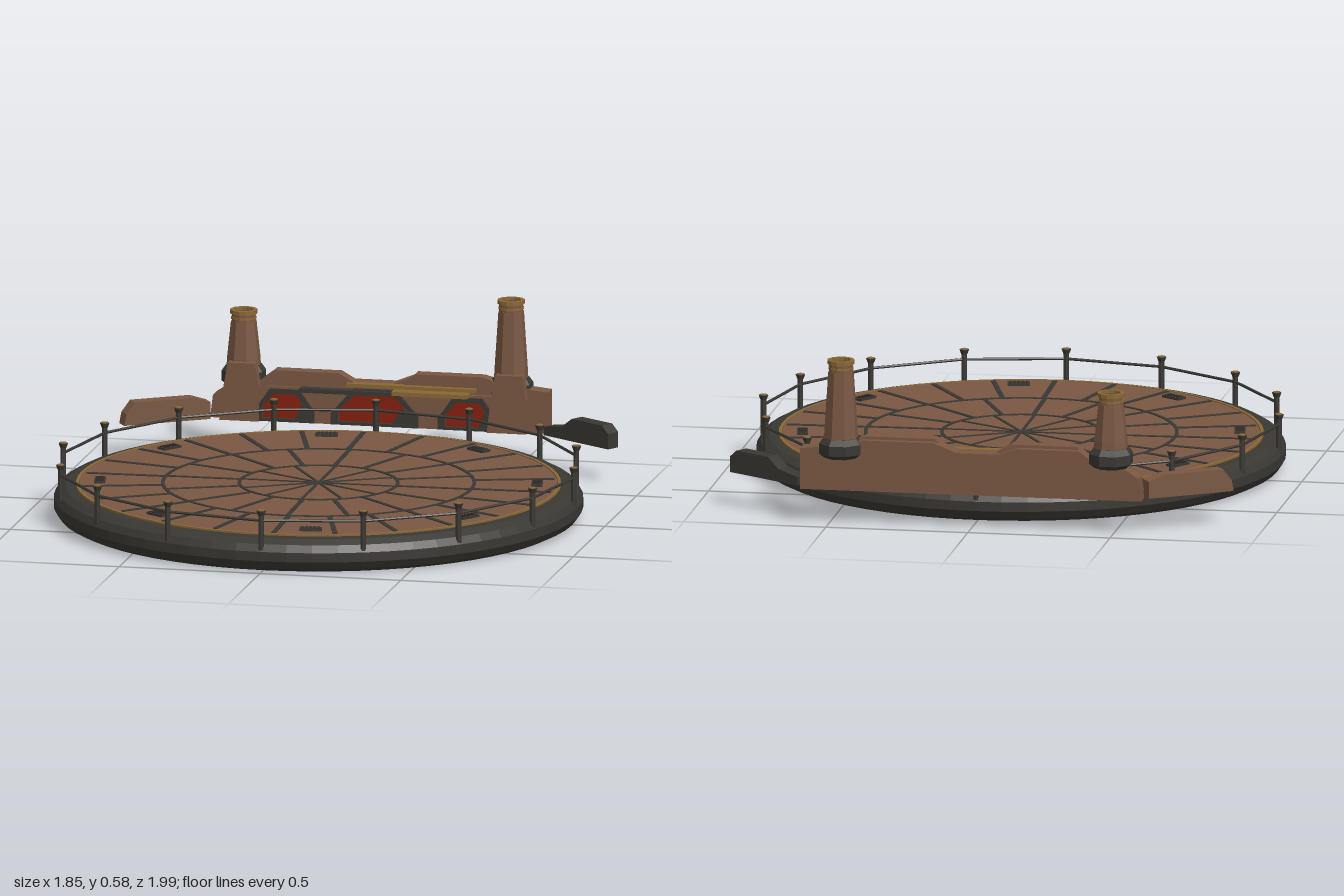
import * as THREE from 'three';

const mat = (color) => new THREE.MeshStandardMaterial({ color, flatShading: true, side: THREE.DoubleSide });
const brown = mat(0x7a5842), dark = mat(0x3a3833), gold = mat(0x8a6835), red = mat(0x86200f), black = mat(0x2f2c2a);
const CZ = 0.075; // disc centre
const DECK = 0.122; // deck height

function add(parent, name, geo, material, x = 0, y = 0, z = 0) {
  const m = new THREE.Mesh(geo, material);
  m.name = name;
  m.position.set(x, y, z);
  parent.add(m);
  return m;
}

const lathe = (pts, n) => new THREE.LatheGeometry(pts.map((p) => new THREE.Vector2(p[0], p[1])), n);

// Outline in x,y pushed from z0 to z1, with optional holes
function slab(pts, z0, z1, holes = []) {
  const vec = (a) => a.map((p) => new THREE.Vector2(p[0], p[1]));
  const shape = new THREE.Shape(vec(pts));
  holes.forEach((h) => shape.holes.push(new THREE.Path(vec(h))));
  return new THREE.ExtrudeGeometry(shape, { depth: z1 - z0, bevelEnabled: false }).translate(0, 0, z0);
}

// Band with a rectangular section
const band = (r0, r1, y0, y1, n = 64) => lathe([[r0, y0], [r1, y0], [r1, y1], [r0, y1], [r0, y0]], n);

function platform() {
  const g = new THREE.Group();
  g.name = 'platform';
  g.position.z = CZ;
  // Rim with an open recess beneath the thin deck
  add(g, 'rim', lathe([[0.842, 0.1], [0.842, 0.012], [0.85, 0.003], [0.87, 0], [0.9, 0.015], [0.918, 0.042], [0.918, 0.075],
    [0.904, 0.1], [0.875, 0.116], [0.842, 0.118], [0.842, 0.1]], 64), dark);
  add(g, 'underside', new THREE.CylinderGeometry(0.84, 0.84, 0.008, 64), black, 0, 0.1);
  add(g, 'deck', new THREE.CylinderGeometry(0.828, 0.828, 0.02, 64), brown, 0, DECK - 0.01);
  add(g, 'deckTrim', band(0.83, 0.841, 0.09, DECK + 0.002), gold);

  // Ring seams and radial seams between the plates
  [0.275, 0.54].forEach((r) => add(g, 'ringSeam', band(r - 0.006, r + 0.006, DECK - 0.01, DECK + 0.003), dark));
  const seams = (n, r0, r1, w, offset) => {
    for (let i = 0; i < n; i++) {
      const pivot = new THREE.Group();
      pivot.rotation.y = offset + (i / n) * Math.PI * 2;
      add(pivot, 'radialSeam', new THREE.BoxGeometry(w, 0.012, r1 - r0), dark, 0, DECK - 0.003, -(r0 + r1) / 2);
      g.add(pivot);
    }
  };
  seams(12, 0, 0.275, 0.01, 0);
  seams(16, 0.275, 0.54, 0.015, 0.02);
  seams(24, 0.54, 0.82, 0.017, 0.03);

  // Deck vents
  for (let i = 0; i < 8; i++) {
    const pivot = new THREE.Group();
    pivot.rotation.y = 0.185 + (i * Math.PI) / 4;
    add(pivot, 'vent', new THREE.BoxGeometry(0.078, 0.012, 0.038), dark, 0, DECK + 0.002, -0.758);
    for (let k = -2; k <= 2; k++)
      add(pivot, 'ventSlat', new THREE.BoxGeometry(0.006, 0.004, 0.03), black, k * 0.014, DECK + 0.009, -0.758);
    g.add(pivot);
  }

  // Railing
  for (let i = 0; i < 16; i++) {
    const a = (i / 16) * Math.PI * 2;
    const post = new THREE.Group();
    post.name = 'railPost';
    post.position.set(0.907 * Math.sin(a), 0, 0.907 * Math.cos(a));
    add(post, 'shaft', new THREE.CylinderGeometry(0.01, 0.01, 0.13, 8), dark, 0, 0.145);
    add(post, 'cap', new THREE.CylinderGeometry(0.017, 0.011, 0.016, 8), dark, 0, 0.211);
    add(post, 'capTop', new THREE.CylinderGeometry(0.013, 0.013, 0.004, 8), gold, 0, 0.22);
    g.add(post);
  }
  const rail = add(g, 'rail', new THREE.TorusGeometry(0.907, 0.005, 6, 16), dark, 0, 0.184);
  rail.rotation.x = Math.PI / 2;
  return g;
}

// Eight-sided chimney with an open top
function tower(x, top) {
  const g = new THREE.Group();
  g.name = 'tower';
  g.position.set(x, 0, -0.922);
  g.rotation.y = Math.PI / 8;
  add(g, 'collar', lathe([[0, 0.235], [0.06, 0.235], [0.078, 0.25], [0.078, 0.285], [0.064, 0.305], [0, 0.305]], 8), dark);
  add(g, 'shaft', lathe([[0.061, 0.29], [0.059, 0.33], [0.045, top - 0.04], [0.034, top - 0.04],
    [0.034, top - 0.09], [0, top - 0.09]], 8), brown);
  add(g, 'neck', band(0.034, 0.042, top - 0.045, top - 0.01, 12), brown);
  add(g, 'lowerRing', band(0.034, 0.045, top - 0.033, top - 0.025, 12), gold);
  add(g, 'capRing', band(0.034, 0.048, top - 0.014, top, 12), gold);
  [0, 1].forEach((k) => {
    add(g, 'grille', new THREE.BoxGeometry(0.072, 0.006, 0.008), brown, 0, top - 0.03).rotation.y = k * Math.PI / 2;
  });
  return g;
}

const trapezoid = (x, w, y0, y1) => [[x - w, y0], [x + w, y0], [x + w, y0 + 0.04], [x + w * 0.5, y1],
  [x - w * 0.5, y1], [x - w, y0 + 0.04]];

function backWall() {
  const g = new THREE.Group();
  g.name = 'backWall';
  add(g, 'wall', slab([[-0.6, 0.12], [0.6, 0.12], [0.6, 0.265], [0.5, 0.275], [0.38, 0.3], [0.13, 0.3],
    [0.05, 0.268], [-0.1, 0.268], [-0.16, 0.29], [-0.38, 0.29], [-0.42, 0.26], [-0.53, 0.24], [-0.59, 0.2]],
  -0.943, -0.88), brown);
  add(g, 'leftCladding', slab([[0.08, 0.26], [0.43, 0.26], [0.4, 0.3], [0.37, 0.31], [0.13, 0.31]], -0.92, -0.87), brown);
  add(g, 'rightCladding', slab([[-0.43, 0.22], [-0.07, 0.22], [-0.07, 0.26], [-0.14, 0.3], [-0.37, 0.3]], -0.92, -0.87), brown);

  // Front shields that hide the collars of the towers
  [-0.49, 0.46].forEach((x) => add(g, 'towerShield', slab([[x - 0.07, 0.12], [x + 0.07, 0.12], [x + 0.07, 0.24],
    [x + 0.055, 0.325], [x - 0.04, 0.325], [x - 0.055, 0.24]], -0.885, -0.845), brown));

  // Glowing panels in dark frames
  const windows = [[-0.33, 0.08, 0.225], [-0.01, 0.13, 0.238], [0.32, 0.08, 0.225]];
  add(g, 'frontPanel', slab([[-0.46, 0.12], [0.46, 0.12], [0.46, 0.19], [0.4, 0.245], [-0.4, 0.245], [-0.46, 0.19]],
    -0.882, -0.862, windows.map(([x, w, t]) => trapezoid(x, w, 0.13, t))), brown);
  windows.forEach(([x, w, t]) => {
    add(g, 'glowPanel', slab(trapezoid(x, w, 0.13, t), -0.885, -0.868), red);
    add(g, 'panelFrame', slab(trapezoid(x, w + 0.025, 0.122, t + 0.012), -0.87, -0.85, [trapezoid(x, w, 0.132, t - 0.005)]), dark);
    add(g, 'panelBrace', slab([[x + w * 0.45, 0.13], [x + w, 0.13], [x + w, 0.165], [x + w * 0.75, 0.19]], -0.87, -0.856), dark);
  });
  add(g, 'darkLedge', new THREE.BoxGeometry(0.33, 0.014, 0.04), dark, -0.11, 0.24, -0.853);
  add(g, 'lintel', new THREE.BoxGeometry(0.46, 0.012, 0.035), gold, 0.12, 0.264, -0.865);
  add(g, 'goldLedge', new THREE.BoxGeometry(0.27, 0.014, 0.06), gold, 0.195, 0.25, -0.838);
  return g;
}

// Angled side panel: local x runs outward from the wall
function wing(side, material, name, pts) {
  const g = new THREE.Group();
  g.name = name;
  g.position.set(side * 0.605, 0, -0.872);
  g.rotation.y = side > 0 ? -0.58 : Math.PI + 0.58;
  add(g, 'panel', slab(pts, -0.025, 0.025), material);
  return g;
}

export function createModel() {
  const model = new THREE.Group();
  model.name = 'landingPlatform';
  model.add(platform(), backWall(), tower(-0.49, 0.5), tower(0.46, 0.58));
  model.add(wing(-1, brown, 'rightWing', [[0, 0.12], [0.32, 0.12], [0.312, 0.16], [0.28, 0.2], [0.06, 0.2], [0, 0.18]]));
  model.add(wing(1, dark, 'leftWing', [[0, 0.12], [0.32, 0.12], [0.32, 0.175], [0.29, 0.2], [0.14, 0.2], [0.09, 0.165], [0, 0.15]]));
  return model;
}
